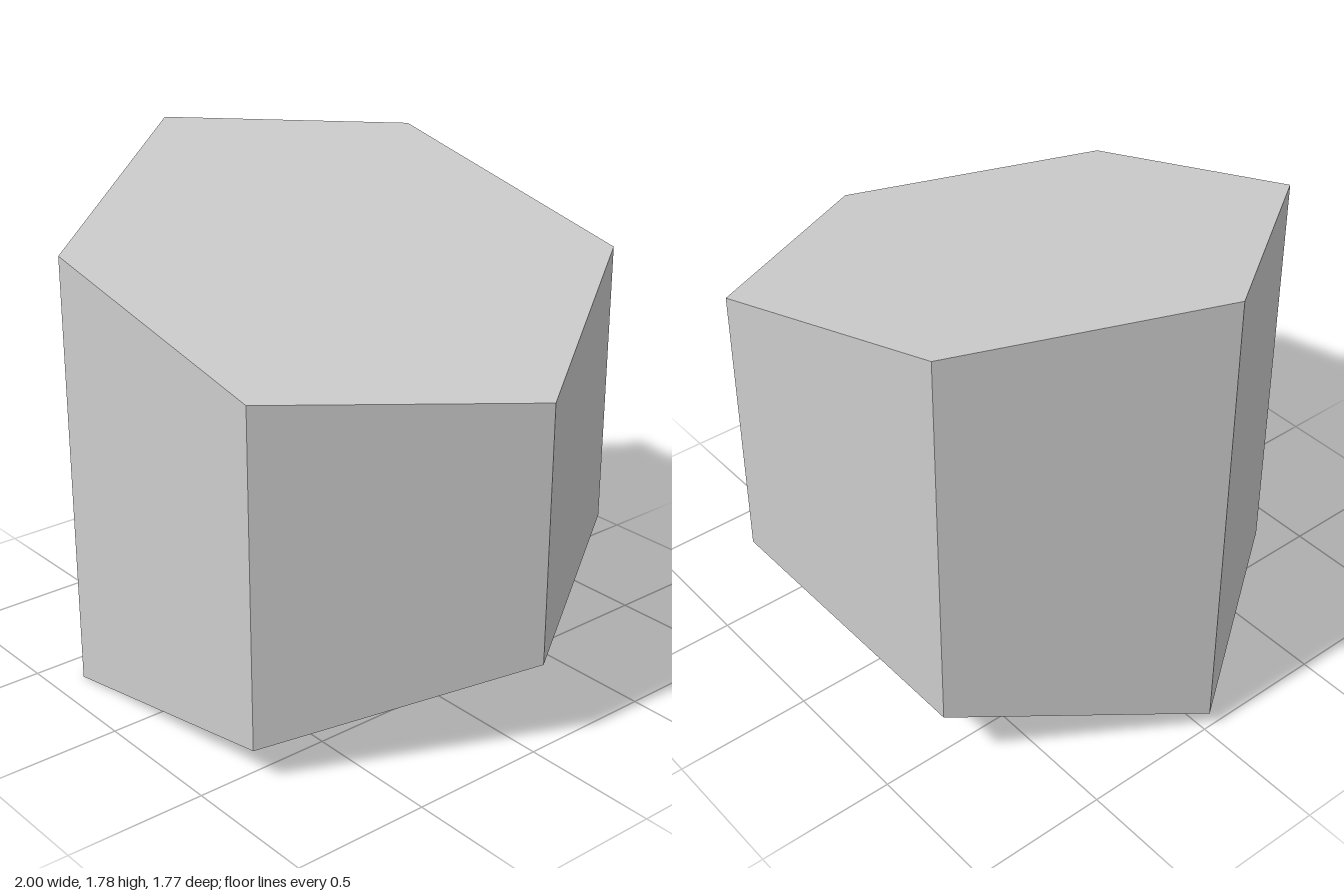
import * as THREE from 'three';

// Plan outline of the hexagonal block as [x, z]
const outline = [
  [-1, 0.02], [-0.375, 0.885], [0.555, 0.83],
  [1, -0.03], [0.435, -0.89], [-0.575, -0.81],
];

// Sloping planes that cut the prism above and below
const topHeight = (x, z) => 1.517 - 0.269 * x - 0.05 * z;
const bottomHeight = (x, z) => 0.195 + 0.1235 * x - 0.165 * z;

export function createModel() {
  const grey = new THREE.MeshStandardMaterial({ color: 0xcccccc });
  grey.name = 'lightGrey';

  // Upright hexagonal prism, one unit tall
  const shape = new THREE.Shape(outline.map(([x, z]) => new THREE.Vector2(x, -z)));
  const geometry = new THREE.ExtrudeGeometry(shape, { depth: 1, bevelEnabled: false });
  geometry.rotateX(-Math.PI / 2);

  // Slide each corner vertically onto its cutting plane
  const p = geometry.attributes.position;
  for (let i = 0; i < p.count; i++) {
    const height = p.getY(i) > 0.5 ? topHeight : bottomHeight;
    p.setY(i, height(p.getX(i), p.getZ(i)));
  }
  geometry.computeVertexNormals();

  const block = new THREE.Mesh(geometry, grey);
  block.name = 'slantedHexagonalBlock';

  const model = new THREE.Group();
  model.name = 'hexagonalColumnPiece';
  model.add(block);
  return model;
}
